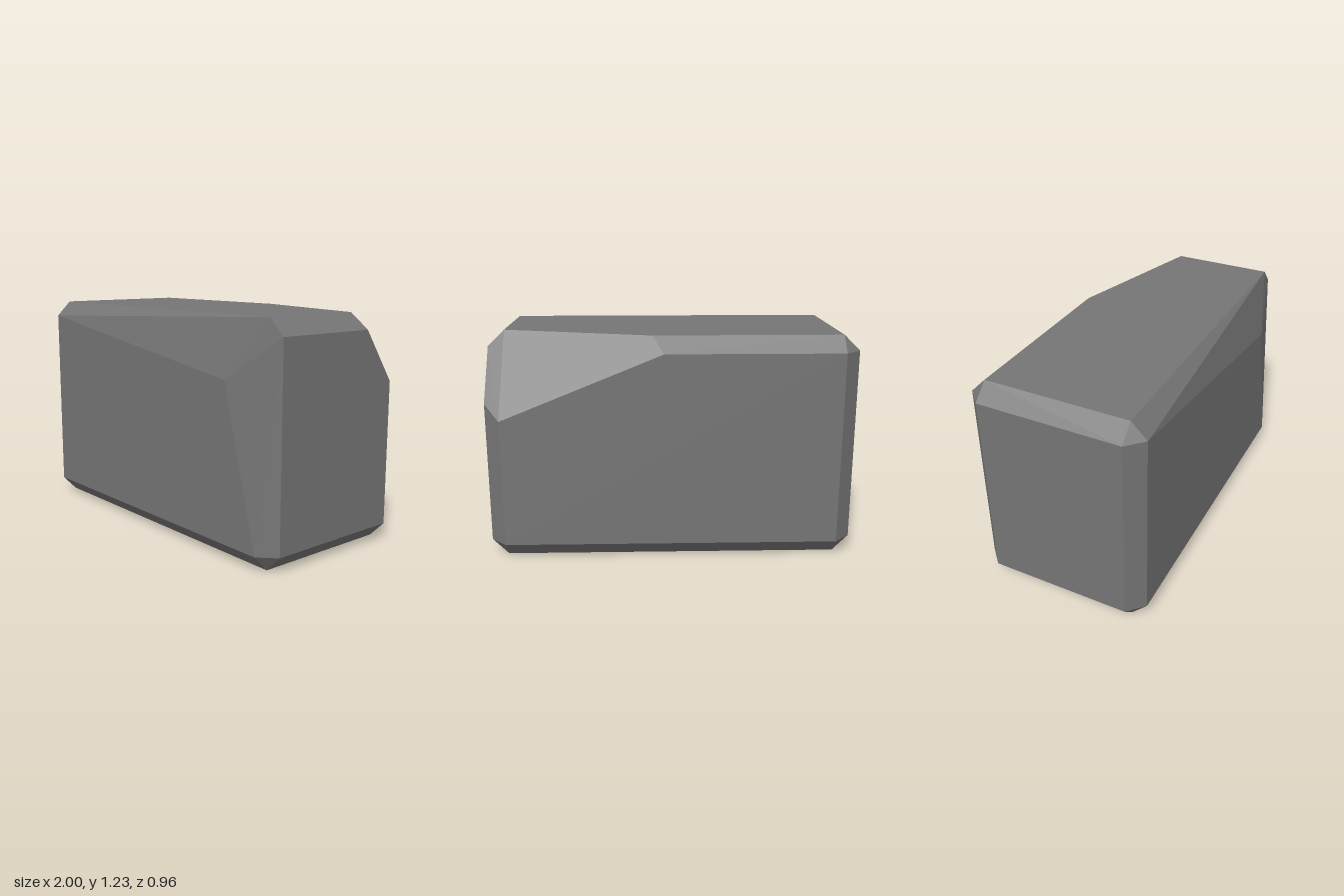
import * as THREE from 'three';
import { ConvexGeometry } from 'three/addons/geometries/ConvexGeometry.js';

// Half sizes of the block and of its faces inside the bevels
const X = 1, XI = 0.913, Z = 0.48, ZI = 0.395;
const H = 1.23, HI = 1.145, LO = 0.088;

// Three points that bevel one corner of the block
function bevelCorner(sx, top, sz) {
  const y = top ? H : 0, yi = top ? HI : LO;
  return [[sx * X, yi, sz * ZI], [sx * XI, y, sz * ZI], [sx * XI, yi, sz * Z]];
}

export function createModel() {
  const group = new THREE.Group();
  group.name = 'rock';
  const stone = new THREE.MeshStandardMaterial({ color: 0x757575 });
  stone.name = 'stone grey';

  const points = [];
  for (const sx of [-1, 1]) for (const sz of [-1, 1]) {
    points.push(...bevelCorner(sx, false, sz));
    if (sx < 0) points.push(...bevelCorner(sx, true, sz));
  }
  // Chipped front left top corner: the front point is pushed inwards
  points.push([X, HI, ZI], [XI, H, ZI], [0.69, 0.92, Z]);
  // Large slanted cut over the back left top corner
  points.push(
    [XI, H, -0.17], [X, HI, -0.2], [X, 0.867, -ZI],
    [XI, 0.79, -Z], [0.1, H, -ZI], [0.04, HI, -Z]
  );

  // Unshared corners keep every facet flat
  const geometry = new ConvexGeometry(points.map(p => new THREE.Vector3(...p)));
  const block = new THREE.Mesh(geometry, stone);
  block.name = 'stoneBlock';
  group.add(block);
  return group;
}
